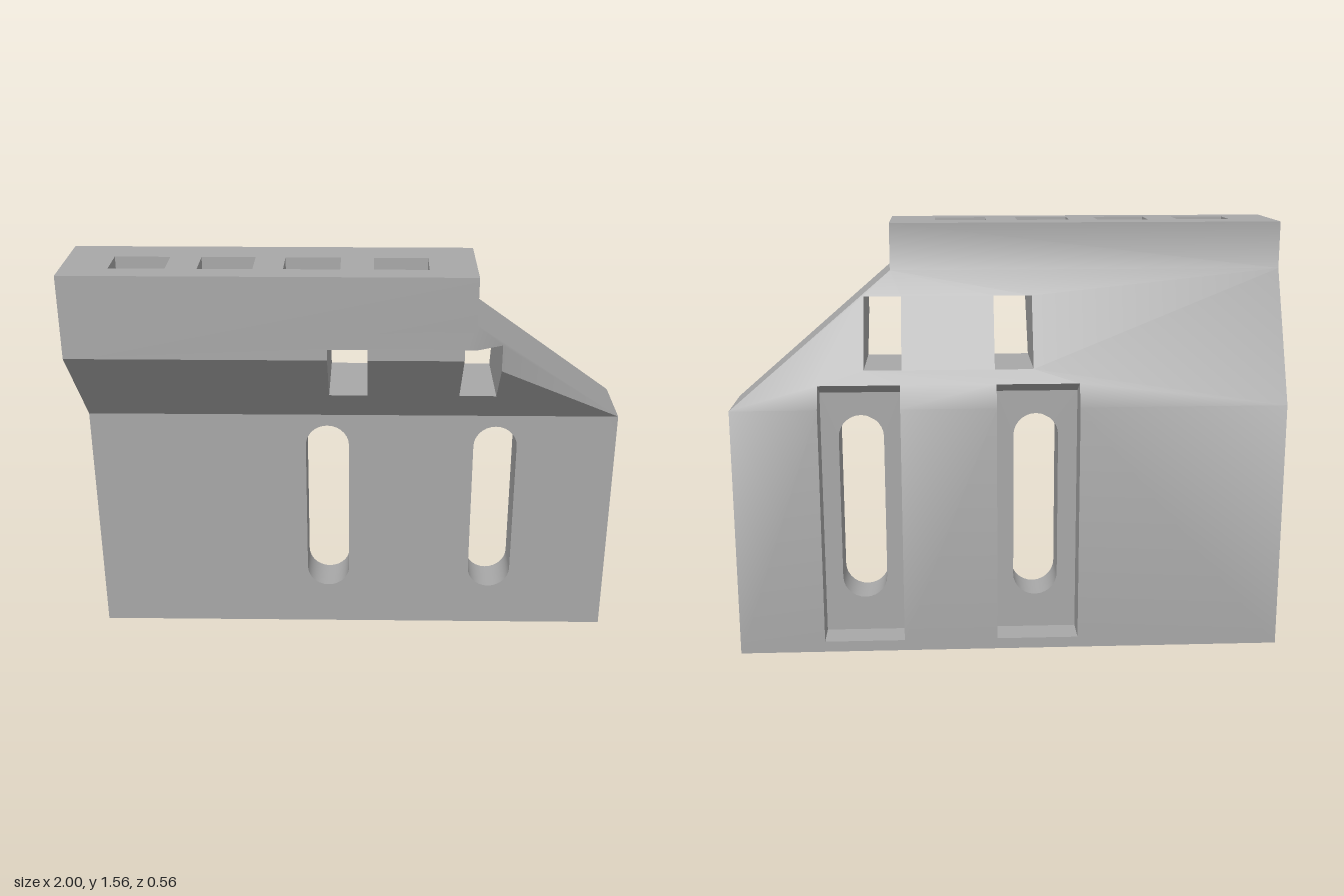
import * as THREE from 'three';
import { toCreasedNormals } from 'three/addons/utils/BufferGeometryUtils.js';

// Key heights and the bevelled end
const KNEE = 0.92, LIP = 1.26, NECK = 1.39, TOP = 1.56;
const END = 1, HEAD = 0.43;
const RECESS_Z = -0.165;

// Depth of the front and back skins at any point of the elevation
const frontZ = (x, y) => Math.min(
  THREE.MathUtils.mapLinear(THREE.MathUtils.clamp(y, KNEE, LIP), KNEE, LIP, -0.015, 0.285),
  0.285 - 0.3 * Math.max(0, x - HEAD) / (END - HEAD));
const backZ = (x, y) =>
  THREE.MathUtils.mapLinear(THREE.MathUtils.clamp(y, KNEE, NECK), KNEE, NECK, -0.28, -0.06);

const front = ([x, y]) => [x, y, frontZ(x, y)];
const back = ([x, y]) => [x, y, backZ(x, y)];
const recessFloor = ([x, y]) => [x, y > KNEE ? 0.96 : y, RECESS_Z];
const level = (h) => ([x, v]) => [x, h, -v];

const rect = (x0, y0, x1, y1) => [[x0, y0], [x1, y0], [x1, y1], [x0, y1]];

// Flat polygon with holes, placed in space by a mapping
function face(out, outline, holes, map, flip = false) {
  const toV = (loop) => loop.map(([x, y]) => new THREE.Vector2(x, y));
  const pts = [outline, ...holes].flat();
  for (const t of THREE.ShapeUtils.triangulateShape(toV(outline), holes.map(toV))) {
    const [a, b, c] = t.map((i) => pts[i]);
    const ccw = (b[0] - a[0]) * (c[1] - a[1]) - (b[1] - a[1]) * (c[0] - a[0]) > 0;
    const tri = ccw !== flip ? [a, b, c] : [a, c, b];
    tri.forEach((p) => out.push(...map(p)));
  }
}

// Wall between two mappings of a counter-clockwise loop
function wall(out, loop, near, far, inward = true, skip = -1) {
  loop.forEach((p, i) => {
    if (i === skip) return;
    const q = loop[(i + 1) % loop.length];
    const quad = [near(p), far(p), far(q), near(p), far(q), near(q)];
    if (inward) quad.reverse();
    quad.forEach((v) => out.push(...v));
  });
}

// Vertical slot with round ends
function slot(x0, x1, y0, y1, n = 14) {
  const r = (x1 - x0) / 2, cx = (x0 + x1) / 2, pts = [];
  for (const [cy, start] of [[y0 + r, Math.PI], [y1 - r, 0]])
    for (let i = 0; i <= n; i++) {
      const a = start + Math.PI * i / n;
      pts.push([cx + r * Math.cos(a), cy + r * Math.sin(a)]);
    }
  return pts;
}

export function createModel() {
  const group = new THREE.Group();
  const grey = new THREE.MeshStandardMaterial({ color: 0xa8a8a8 });
  grey.name = 'plain grey';
  const add = (name, out) => {
    const g = new THREE.BufferGeometry();
    g.setAttribute('position', new THREE.Float32BufferAttribute(out, 3));
    const mesh = new THREE.Mesh(toCreasedNormals(g, 0.6), grey);
    mesh.name = name;
    group.add(mesh);
  };

  const slots = [slot(-0.18, -0.015, 0.17, 0.875), slot(0.46, 0.625, 0.17, 0.875)];
  const recesses = [[-0.25, 0.05], [0.395, 0.69]];
  const R0 = 0.04, R1 = 1.0;              // recess bottom and top
  const W0 = 1.05, W1 = 1.3;              // window bottom and top
  const windows = [[-0.085, 0.055], [0.39, 0.525]];
  const [[a0, a1], [b0, b1]] = windows;
  const bevelY = LIP - (LIP - KNEE) * (b1 - HEAD) / (END - HEAD);

  const body = [];
  // Front skin: plate, leaning underside, head and bevel triangle
  face(body, rect(-1, 0, END, KNEE), slots, front);
  face(body, [[-1, KNEE], [END, KNEE], [b1, bevelY], [b1, W0], [b0, W0], [b0, LIP],
    [a1, LIP], [a1, W0], [a0, W0], [a0, LIP], [-1, LIP]], [], front);
  face(body, [[-1, LIP], [a0, LIP], [a0, W1], [a1, W1], [a1, LIP], [b0, LIP], [b0, W1],
    [HEAD, W1], [HEAD, NECK], [HEAD, TOP], [-1, TOP]], [], front);
  face(body, [[HEAD, W1], [b1, W1], [b1, bevelY], [END, KNEE], [HEAD, NECK]], [], front);

  // Back skin: plate and slope notched by the recesses, then the head
  const notches = (y) => [...recesses].reverse()
    .flatMap(([l, r]) => [[r, KNEE], [r, y], [l, y], [l, KNEE]]);
  face(body, [[-1, 0], [END, 0], [END, KNEE], ...notches(R0), [-1, KNEE]], [], back, true);
  face(body, [[-1, NECK], [HEAD, NECK], [END, KNEE], ...notches(R1), [-1, KNEE]],
    windows.map(([l, r]) => rect(l, W0, r, W1)), back, true);
  face(body, rect(-1, NECK, HEAD, TOP), [], back, true);

  // Ends and underside; the top edge is left for the pocketed deck
  wall(body, [[-1, 0], [END, 0], [END, KNEE], [HEAD, NECK], [HEAD, TOP], [-1, TOP],
    [-1, NECK], [-1, LIP], [-1, KNEE]], front, back, false, 4);

  // Deck with four pockets
  const pockets = [[-0.835, -0.64], [-0.53, -0.34], [-0.235, -0.04], [0.075, 0.265]]
    .map(([l, r]) => rect(l, -0.2, r, -0.065));
  face(body, rect(-1, -0.285, HEAD, 0.06), pockets, level(TOP));
  add('body', body);

  const pocketFaces = [];
  for (const p of pockets) {
    wall(pocketFaces, p, level(TOP), level(NECK));
    face(pocketFaces, p, [], level(NECK));
  }
  add('topPockets', pocketFaces);

  // Rectangular windows through the leaning part
  const windowFaces = [];
  wall(windowFaces, [[a0, W0], [a1, W0], [a1, LIP], [a1, W1], [a0, W1], [a0, LIP]], front, back);
  wall(windowFaces, [[b0, W0], [b1, W0], [b1, bevelY], [b1, W1], [HEAD, W1], [b0, W1],
    [b0, LIP]], front, back);
  add('windowWalls', windowFaces);

  // Back recesses, each with a round-ended slot through to the front
  recesses.forEach(([l, r], i) => {
    const faces = [];
    wall(faces, [[l, R0], [r, R0], [r, KNEE], [r, R1], [l, R1], [l, KNEE]], recessFloor, back);
    face(faces, rect(l, R0, r, R1), [slots[i]], recessFloor, true);
    wall(faces, slots[i], front, recessFloor);
    add('slotRecess' + (i + 1), faces);
  });

  return group;
}
